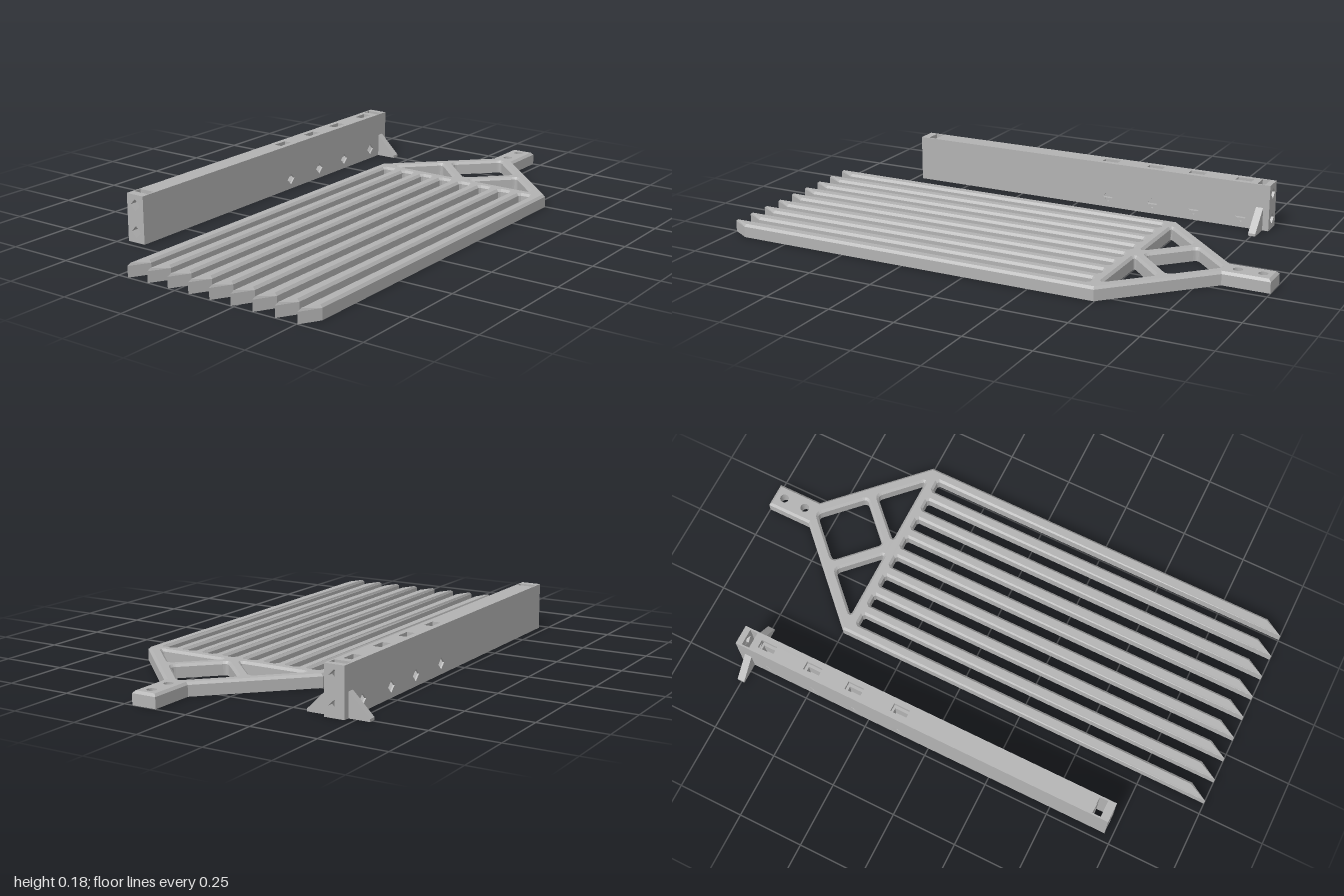
import * as THREE from 'three';

const steel = new THREE.MeshStandardMaterial({ color: 0xb2b2b2 });
steel.name = 'plain grey';

const V = (x, y) => new THREE.Vector2(x, y);
const rect = (x0, x1, y0, y1) => [V(x0, y0), V(x1, y0), V(x1, y1), V(x0, y1)];
const diamond = (x, y, r) => [V(x - r, y), V(x, y - r), V(x + r, y), V(x, y + r)];

// Extrusion of an outline with holes, running from 0 to depth
function extrude(outline, holes, depth, bevel = 0) {
  const shape = new THREE.Shape(outline);
  shape.holes = holes.map(h => new THREE.Path(h));
  return new THREE.ExtrudeGeometry(shape, bevel
    ? { depth: depth - bevel, bevelThickness: bevel, bevelSize: bevel, bevelOffset: -bevel, bevelSegments: 1 }
    : { depth, bevelEnabled: false });
}

function add(group, name, geometry, x = 0, y = 0, z = 0) {
  const mesh = new THREE.Mesh(geometry, steel);
  mesh.name = name;
  mesh.position.set(x, y, z);
  group.add(mesh);
}

// Rounds the corners of a polygon
function rounded(points, r) {
  const out = [], n = points.length;
  points.forEach((p, i) => {
    const a = points[(i + n - 1) % n].clone().sub(p).setLength(r).add(p);
    const b = points[(i + 1) % n].clone().sub(p).setLength(r).add(p);
    out.push(...new THREE.QuadraticBezierCurve(a, p, b).getPoints(4));
  });
  return out;
}

// Flat fork: handle tab, triangular braced head and nine pointed tines
function buildFork() {
  const fork = new THREE.Group();
  fork.name = 'fork';
  const half = 0.377, pitch = 0.089, w = 0.021, tab = 0.048, c = 0.007;

  // Plan outline, drawn with forward as -y
  const outline = [V(tab, 1), V(-tab, 1), V(-tab, 0.825), V(-half, 0.497)];
  for (let i = 0; i < 9; i++) {
    const x = (i - 4) * pitch;
    if (i > 0) outline.push(V(x - w - c, 0.455), V(x - w, 0.455 - c));
    outline.push(V(x - w, -1), V(x + w, -0.93));
    if (i < 8) outline.push(V(x + w, 0.455 - c), V(x + w + c, 0.455));
  }
  outline.push(V(half, 0.497), V(tab, 0.825));

  // Braced openings and the two round tab holes
  const holes = [rounded([V(0, 0.811), V(-0.144, 0.667), V(0, 0.524), V(0.144, 0.667)], 0.018)];
  for (const s of [-1, 1])
    holes.push(rounded([V(s * 0.314, 0.497), V(s * 0.033, 0.497), V(s * 0.1735, 0.6375)], 0.018));
  const bolts = [0.957, 0.867], r = 0.017;
  for (const y of bolts) holes.push(new THREE.Path().absarc(0, y, r, 0, Math.PI * 2).getPoints(10).slice(0, -1));

  const geo = extrude(outline, holes, 0.05, 0.009);
  // Keep the chamfer on the top only, and the tab holes straight
  const p = geo.attributes.position;
  for (let i = 0; i < p.count; i++) {
    p.setZ(i, Math.max(p.getZ(i), 0));
    for (const y of bolts) {
      const d = Math.hypot(p.getX(i), p.getY(i) - y);
      if (d < 0.03) p.setXY(i, p.getX(i) * r / d, y + (p.getY(i) - y) * r / d);
    }
  }
  geo.computeVertexNormals();
  geo.rotateX(-Math.PI / 2);
  add(fork, 'forkPlate', geo);
  fork.position.x = 0.169;
  return fork;
}

// Upright beam with bores, vertical slots and two feet
function buildBeam() {
  const beam = new THREE.Group();
  beam.name = 'beam';
  const H = 0.179, w = 0.0315, wall = 0.0065, back = -0.79, front = 0.72;
  const stations = [-0.677, -0.487, -0.315, -0.127];

  // Side walls with cross bores
  for (const x of [-w - wall, w]) {
    const geo = extrude(rect(-front, -back, 0, H), stations.map(z => diamond(-z, 0.04, 0.022)), wall);
    add(beam, 'sideWall', geo.rotateY(Math.PI / 2), x);
  }

  // Bottom, middle and top webs with rectangular through holes
  for (const [y0, y1] of [[0, 0.018], [0.062, 0.118], [0.162, H]]) {
    const geo = extrude(rect(-w, w, -0.636, 0.717),
      stations.map(z => rect(-0.016, 0.016, -z - 0.032, -z + 0.032)), y1 - y0);
    add(beam, 'web', geo.rotateX(-Math.PI / 2), 0, y0);
  }

  // End caps and bulkheads, with an open slot between each pair
  for (const [name, z0, z1] of [['endCap', back, -0.767], ['bulkhead', -0.737, -0.717],
    ['bulkhead', 0.636, 0.656], ['endCap', 0.688, front]]) {
    add(beam, name, extrude(rect(-w, w, 0, H), [diamond(0, 0.04, 0.022), diamond(0, 0.14, 0.022)], z1 - z0), 0, 0, z0);
  }

  // Triangular feet
  for (const s of [-1, 1]) {
    const foot = [V(s * 0.037, 0), V(s * 0.118, 0), V(s * 0.118, 0.01), V(s * 0.037, 0.09)];
    add(beam, s < 0 ? 'rightFoot' : 'leftFoot', extrude(foot, [], 0.028), 0, 0, -0.766);
  }
  beam.position.x = -0.432;
  return beam;
}

export function createModel() {
  const model = new THREE.Group();
  model.name = 'forkAndBeam';
  model.add(buildFork(), buildBeam());
  return model;
}
